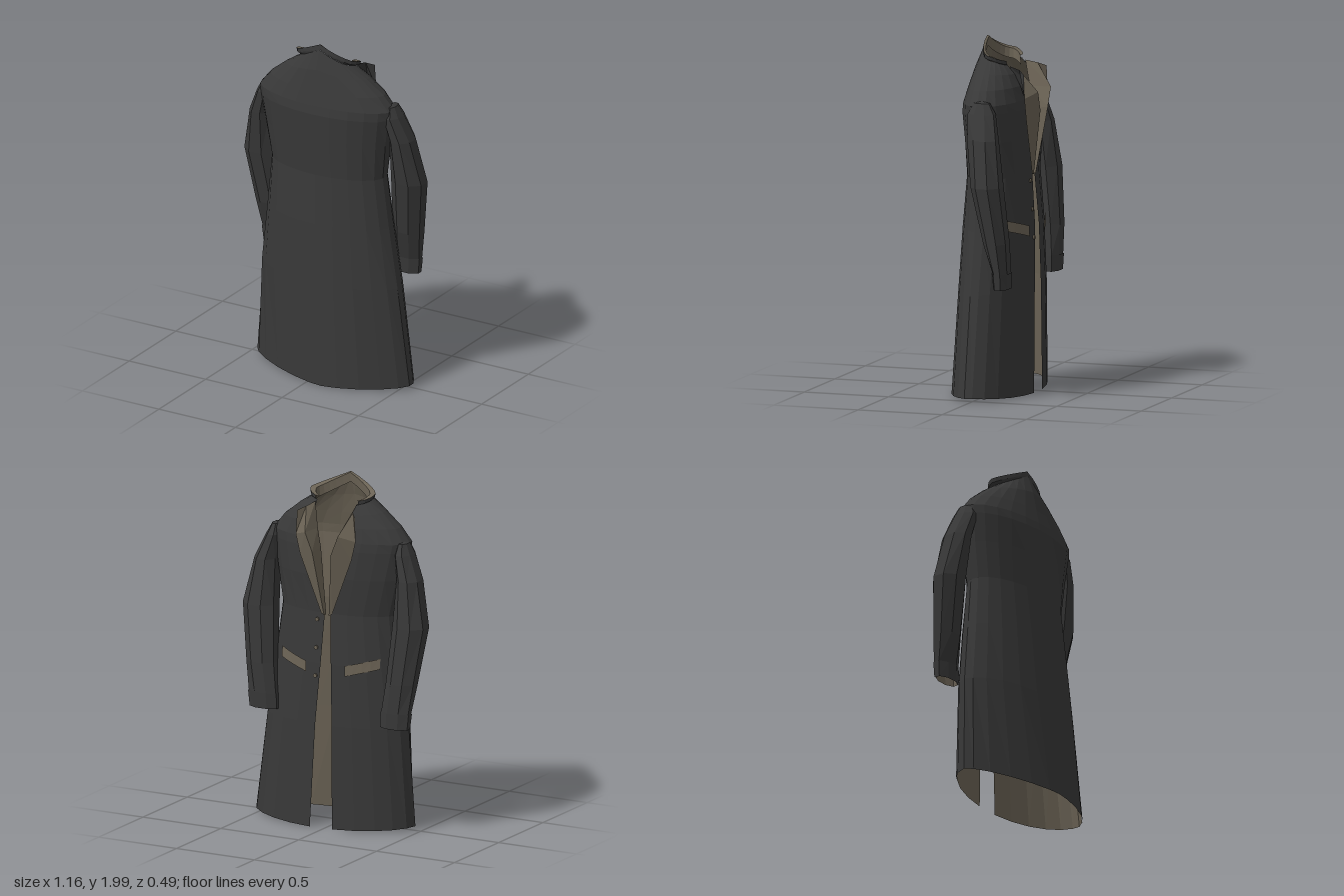
import * as THREE from 'three';

const cloth = new THREE.MeshStandardMaterial({ color: 0x383838, side: THREE.FrontSide });
const lining = new THREE.MeshStandardMaterial({ color: 0x6b6355, side: THREE.FrontSide });
cloth.name = 'charcoal cloth';
lining.name = 'taupe lining';

// Faceted surface through rows of [x, y, z] points
function loft(name, rows, material, flip = false) {
  const pos = [];
  for (let i = 0; i < rows.length - 1; i++) {
    for (let j = 0; j < rows[i].length - 1; j++) {
      const a = rows[i][j], b = rows[i][j + 1], c = rows[i + 1][j + 1], d = rows[i + 1][j];
      const tris = flip ? [a, c, b, a, d, c] : [a, b, c, a, c, d];
      for (const p of tris) pos.push(...p);
    }
  }
  const geo = new THREE.BufferGeometry();
  geo.setAttribute('position', new THREE.Float32BufferAttribute(pos, 3));
  geo.computeVertexNormals();
  const mesh = new THREE.Mesh(geo, material);
  mesh.name = name;
  return mesh;
}

// Body levels: y, centre x, half width, front z, back z, opening edges (-x, +x),
// neck tilt, pointedness of the back, sideways shift of the back
const LEVELS = [
  [0.00, 0.045, 0.505, -0.217, 0.245, -0.05, 0.09, 0, 1.35, 0.045],
  [0.60, 0.020, 0.450, -0.210, 0.210, -0.045, 0.06, 0, 1.15, 0.02],
  [0.95, 0.010, 0.400, -0.200, 0.190, -0.035, 0.03, 0, 1.05, 0.01],
  [1.24, 0.005, 0.365, -0.178, 0.168, -0.02, 0.015, 0, 1, 0],
  [1.45, 0, 0.400, -0.185, 0.178, -0.06, 0.06, 0, 1, 0],
  [1.61, 0, 0.428, -0.178, 0.186, -0.085, 0.085, 0, 1, 0],
  [1.66, 0, 0.432, -0.170, 0.178, -0.095, 0.095, 0, 1, 0],
  [1.74, 0, 0.365, -0.150, 0.160, -0.11, 0.11, 0, 1, 0],
  [1.82, 0, 0.265, -0.125, 0.135, -0.12, 0.12, 0.04, 1, 0],
  [1.88, 0, 0.172, -0.100, 0.100, -0.125, 0.125, 0.09, 1, 0],
];
function levelAt(y) {
  let i = 0;
  while (i < LEVELS.length - 2 && y > LEVELS[i + 1][0]) i++;
  const k = (y - LEVELS[i][0]) / (LEVELS[i + 1][0] - LEVELS[i][0]);
  return LEVELS[i].map((v, n) => v + (LEVELS[i + 1][n] - v) * k);
}
// Angle 0 is the open front (-z), a quarter turn is +x
function bodyPoint([y, cx, rx, zf, zb, , , tilt, point, shift], t, grow = 0) {
  let s = Math.sin(t), c = Math.cos(t);
  const rise = tilt * (c < 0 ? 1 - Math.abs(s) : -0.35 * c);
  const hem = y < 0.01 ? 0.006 + 0.022 * s * s : 0;
  let x = cx;
  if (c < 0) {
    x -= shift * c;
    s = Math.sign(s) * Math.abs(s) ** point;
    c = -(Math.abs(c) ** point);
  }
  return [x + (rx + grow) * s, y + rise + hem, (zf + zb) / 2 - ((zb - zf) / 2 + grow) * c];
}
function bodyRow(level, grow) {
  const [, cx, rx, , , e0, e1] = level, row = [], n = 22;
  const t0 = Math.asin((e1 - cx) / rx), t1 = 2 * Math.PI + Math.asin((e0 - cx) / rx);
  for (let j = 0; j <= n; j++) row.push(bodyPoint(level, t0 + (t1 - t0) * j / n, grow));
  return row;
}

// Collar: flared band, dark outside and lined inside
function collarRow(rx, rz, dy) {
  const row = [], n = 18, t0 = 0.75;
  for (let j = 0; j <= n; j++) {
    const t = t0 + (2 * Math.PI - 2 * t0) * j / n, s = Math.sin(t), c = Math.cos(t);
    row.push([rx * s, 1.91 + dy + (c < 0 ? 0.09 * (1 - Math.abs(s)) : -0.04 * c), -rz * c]);
  }
  return row;
}

// Sleeve rings from cuff to shoulder: y, x, z, half width, half depth
const SLEEVE = [
  [0.64, 0.418, -0.148, 0.083, 0.038],
  [0.73, 0.425, -0.146, 0.086, 0.043],
  [0.90, 0.448, -0.122, 0.087, 0.066],
  [1.22, 0.480, -0.078, 0.098, 0.084],
  [1.48, 0.456, -0.045, 0.066, 0.084],
  [1.62, 0.412, -0.022, 0.048, 0.076],
  [1.68, 0.405, -0.020, 0.025, 0.045],
  [1.69, 0.405, -0.020, 0.001, 0.001],
];
function sleeveRows(rings, side, grow) {
  const n = 8, k = 1 / Math.cos(Math.PI / n);
  return rings.map(([y, x, z, rx, rz]) => {
    const row = [], w = k * Math.max(rx + grow, 0.001), d = k * Math.max(rz + grow, 0.001);
    for (let j = 0; j <= n; j++) {
      const t = 2 * Math.PI * (j + 0.5) / n;
      row.push([side * (x + w * Math.sin(t)), y, z - d * Math.cos(t)]);
    }
    return row;
  });
}

export function createModel() {
  const coat = new THREE.Group();
  coat.name = 'longCoat';

  // Body shell and its lining
  coat.add(loft('body', LEVELS.map(l => bodyRow(l, 0)), cloth, true));
  coat.add(loft('bodyLining', LEVELS.map(l => bodyRow(l, -0.006)), lining));

  // Collar
  const rim = collarRow(0.203, 0.094, 0);
  coat.add(loft('collar', [collarRow(0.168, 0.098, -0.03), collarRow(0.197, 0.097, -0.022), rim], cloth, true));
  coat.add(loft('collarLining', [rim, collarRow(0.168, 0.083, -0.005), collarRow(0.162, 0.09, -0.06)], lining, true));

  for (const side of [1, -1]) {
    const label = side > 0 ? 'left' : 'right';

    // Sleeve, cuff and sleeve lining
    const sleeve = new THREE.Group();
    sleeve.name = label + 'Sleeve';
    sleeve.add(loft('sleeve', sleeveRows(SLEEVE, side, 0), cloth, side > 0));
    sleeve.add(loft('cuff', sleeveRows(SLEEVE.slice(0, 2), side, 0.004), cloth, side > 0));
    sleeve.add(loft('sleeveLining', sleeveRows(SLEEVE, side, -0.005), lining, side < 0));
    if (side < 0) sleeve.position.y = -0.015;
    coat.add(sleeve);

    // Lapel: fold line, raised roll and outer edge, with a cloth underside
    const lapel = [
      [[0.128, 1.85, -0.085], [0.15, 1.835, -0.15], [0.185, 1.815, -0.19]],
      [[0.09, 1.71, -0.125], [0.105, 1.71, -0.245], [0.192, 1.68, -0.195]],
      [[0.062, 1.60, -0.138], [0.06, 1.60, -0.243], [0.165, 1.57, -0.195]],
      [[0.012, 1.23, -0.168], [0.015, 1.23, -0.187], [0.035, 1.24, -0.184]],
    ].map(row => row.map(([x, y, z]) => [side * x, y, z]));
    coat.add(loft(label + 'Lapel', lapel, lining, side < 0));
    coat.add(loft(label + 'LapelUnderside', lapel, cloth, side > 0));

    // Slanted pocket welt following the body
    const lower = [], upper = [];
    for (let j = 0; j <= 4; j++) {
      const k = j / 4, x = side * (0.12 + 0.185 * k), y = 0.895 + 0.05 * k;
      for (const [row, h] of [[lower, y], [upper, y + 0.06]]) {
        const l = levelAt(h);
        row.push(bodyPoint(l, Math.asin((x - l[1]) / l[2]), 0.008));
      }
    }
    coat.add(loft(label + 'Pocket', [lower, upper], lining, side > 0));
  }

  // Buttons
  for (const y of [1.2, 1.04, 0.88]) {
    const l = levelAt(y), p = bodyPoint(l, Math.asin((0.06 - l[1]) / l[2]), 0.006);
    const button = new THREE.Mesh(new THREE.CylinderGeometry(0.012, 0.012, 0.009, 8), lining);
    button.rotation.x = Math.PI / 2;
    button.position.set(...p);
    button.name = 'button';
    coat.add(button);
  }
  return coat;
}
